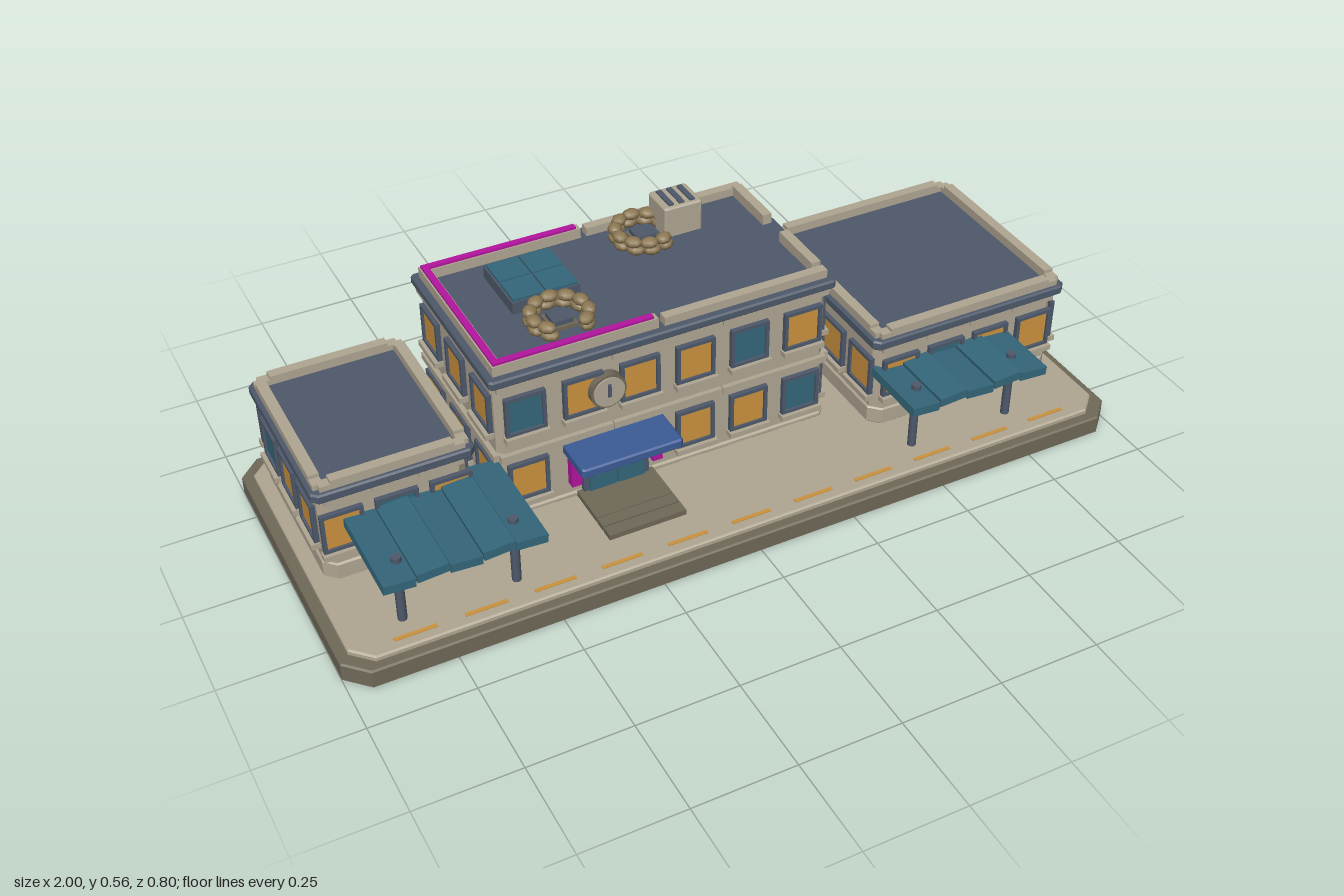
import * as THREE from 'three';

const mat = (name, color) => {
  const m = new THREE.MeshStandardMaterial({ color });
  m.name = name;
  return m;
};
const stone = mat('beige stone', 0xb0a692);
const taupe = mat('dark taupe', 0x706959);
const slate = mat('slate', 0x4e596a);
const teal = mat('teal', 0x34677a);
const amber = mat('amber glass', 0xcb933f);
const blue = mat('canopy blue', 0x3c5c96);
const magenta = mat('magenta', 0xb4159f);
const sand = mat('sandbag brown', 0x8c7853);

function add(parent, name, geo, material, x = 0, y = 0, z = 0) {
  const m = new THREE.Mesh(geo, material);
  m.name = name;
  m.position.set(x, y, z);
  parent.add(m);
  return m;
}

// Box given by its limits
function box(parent, name, material, x0, x1, y0, y1, z0, z1) {
  return add(parent, name, new THREE.BoxGeometry(x1 - x0, y1 - y0, z1 - z0), material,
    (x0 + x1) / 2, (y0 + y1) / 2, (z0 + z1) / 2);
}

// Flat block with cut corners and a small bevel, given by its limits
function slab(parent, name, material, x0, x1, y0, y1, z0, z1, cut, bevel = 0.004) {
  const w = (x1 - x0) / 2 - bevel, d = (z1 - z0) / 2 - bevel;
  const pts = [[w, d - cut], [w - cut, d], [cut - w, d], [-w, d - cut],
    [-w, cut - d], [cut - w, -d], [w - cut, -d], [w, cut - d]];
  const geo = new THREE.ExtrudeGeometry(new THREE.Shape(pts.map(p => new THREE.Vector2(...p))), {
    depth: y1 - y0 - 2 * bevel, bevelEnabled: true, bevelSize: bevel, bevelThickness: bevel, bevelSegments: 1,
  });
  geo.rotateX(-Math.PI / 2);
  return add(parent, name, geo, material, (x0 + x1) / 2, y0 + bevel, (z0 + z1) / 2);
}

// Window frame with a rectangular hole
const W = 0.1, H = 0.106;
const rect = (C, w, h) => new C([[-w, -h], [w, -h], [w, h], [-w, h]].map(p => new THREE.Vector2(p[0] / 2, p[1] / 2)));
const frameShape = rect(THREE.Shape, W, H);
frameShape.holes.push(rect(THREE.Path, W - 0.018, H - 0.018));
const frameGeo = new THREE.ExtrudeGeometry(frameShape, { depth: 0.012, bevelEnabled: false });
const paneGeo = new THREE.BoxGeometry(W - 0.016, H - 0.016, 0.006);
const sillGeo = new THREE.BoxGeometry(W + 0.008, 0.014, 0.022);

function windowUnit(side, x, y, z, glass) {
  const g = new THREE.Group();
  g.name = 'window';
  g.position.set(x, y, z);
  side.add(g);
  add(g, 'windowFrame', frameGeo, slate);
  add(g, 'windowPane', paneGeo, glass, 0, 0, 0.003);
  add(g, 'windowSill', sillGeo, stone, 0, -H / 2 - 0.006, 0.011);
}

// Four wall faces: local x runs along the wall and local z points outward
function walls(parent, x0, x1, z0, z1, build) {
  const w = x1 - x0, d = z1 - z0;
  ['front', 'left', 'back', 'right'].forEach((name, i) => {
    const g = new THREE.Group();
    g.name = name + 'Wall';
    g.position.set((x0 + x1) / 2, 0, (z0 + z1) / 2);
    g.rotation.y = i * Math.PI / 2;
    parent.add(g);
    build(g, i, i % 2 ? d : w, (i % 2 ? w : d) / 2);
  });
}

// Row of facing blocks with narrow joints
function course(side, name, len, z, y0, y1, n, out) {
  const s = len / n;
  for (let i = 0; i < n; i++)
    box(side, name, stone, -len / 2 + i * s + 0.0015, -len / 2 + (i + 1) * s - 0.0015, y0, y1, z - 0.01, z + out);
}

function wing(root, name, x0, x1, z0, z1, counts, teals) {
  const g = new THREE.Group();
  g.name = name;
  root.add(g);
  slab(g, 'wingWalls', stone, x0, x1, 0.063, 0.302, z0, z1, 0.02);
  slab(g, 'wingPlinth', stone, x0 - 0.005, x1 + 0.005, 0.063, 0.11, z0 - 0.005, z1 + 0.005, 0.025);
  slab(g, 'wingRoof', slate, x0 - 0.017, x1 + 0.017, 0.3, 0.325, z0 - 0.017, z1 + 0.017, 0.012);
  walls(g, x0, x1, z0, z1, (s, i, len, r) => {
    const n = counts[i];
    for (let k = 0; k < n; k++)
      windowUnit(s, (k - (n - 1) / 2) * 0.128, 0.206, r, teals[i] === k ? teal : amber);
    course(s, 'wingCornice', len - 0.02, r, 0.283, 0.3, n, 0.008);
    // Low parapet with a taller middle
    box(s, 'wingParapet', stone, -len / 2 + 0.005, len / 2 - 0.005, 0.324, 0.339, r - 0.018, r + 0.007);
    box(s, 'wingCoping', stone, -len / 2 + 0.03, len / 2 - 0.03, 0.338, 0.348, r - 0.018, r + 0.007);
  });
}

function awning(root, x0, posts) {
  const g = new THREE.Group();
  g.name = 'awning';
  root.add(g);
  const s = 0.076;
  for (let i = 0; i < 5; i++) {
    const m = box(g, 'awningPanel', teal, x0 + i * s, x0 + (i + 1) * s - 0.002, 0.212, 0.234, 0.075, 0.36);
    m.position.y += i % 2 ? 0.005 : -0.002;
    m.rotation.z = i % 2 ? 0.07 : -0.07;
  }
  for (const x of posts) {
    add(g, 'awningPost', new THREE.CylinderGeometry(0.011, 0.011, 0.18, 10), slate, x, 0.153, 0.29);
    add(g, 'postCap', new THREE.CylinderGeometry(0.012, 0.012, 0.014, 10), slate, x, 0.237, 0.29);
  }
}

// Two stacked layers of sandbags around a small hatch, with an opening
function sandbagRing(root, x, z, open) {
  const g = new THREE.Group();
  g.name = 'sandbagRing';
  g.position.set(x, 0.468, z);
  root.add(g);
  const bag = new THREE.SphereGeometry(1, 8, 6).scale(0.023, 0.014, 0.018);
  for (let layer = 0; layer < 2; layer++)
    for (let i = 0; i < 9; i++) {
      const a = open + 0.75 + i * 0.59 + layer * 0.1;
      const m = add(g, 'sandbag', bag, sand, Math.cos(a) * 0.067, 0.011 + layer * 0.019, Math.sin(a) * 0.067);
      m.rotation.y = Math.PI / 2 - a;
    }
  box(g, 'hatchBase', taupe, -0.032, 0.032, 0, 0.01, -0.032, 0.032);
  box(g, 'hatch', slate, -0.025, 0.025, 0.01, 0.022, -0.025, 0.025);
}

export function createModel() {
  const root = new THREE.Group();
  root.name = 'station';

  // Ground
  slab(root, 'base', taupe, -1, 1, 0, 0.05, -0.4, 0.4, 0.05);
  slab(root, 'pavement', stone, -0.975, 0.975, 0.046, 0.063, -0.375, 0.375, 0.045);
  for (let i = -5; i <= 5; i++)
    box(root, 'platformDash', amber, i * 0.165 - 0.05, i * 0.165 + 0.05, 0.062, 0.065, 0.34, 0.35);

  // Side wings and their awnings
  wing(root, 'leftWing', 0.425, 0.938, -0.318, 0.188, [4, 4, 4, 4], [1, 3, 0, -1]);
  wing(root, 'rightWing', -0.938, -0.592, -0.318, 0.108, [3, 3, 3, 3], [1, -1, -1, 0]);
  awning(root, -0.89, [-0.835, -0.565]);
  awning(root, 0.42, [0.472, 0.743]);

  // Main hall
  const hall = new THREE.Group();
  hall.name = 'mainHall';
  root.add(hall);
  const x0 = -0.512, x1 = 0.336, z0 = -0.36, z1 = 0.09;
  slab(hall, 'hallWalls', stone, x0, x1, 0.063, 0.45, z0, z1, 0.012);
  slab(hall, 'hallPlinth', stone, x0 - 0.006, x1 + 0.006, 0.063, 0.078, z0 - 0.006, z1 + 0.006, 0.012);
  slab(hall, 'hallRoof', slate, x0 - 0.016, x1 + 0.016, 0.445, 0.468, z0 - 0.016, z1 + 0.016, 0.005);
  const upperTeal = [[0, 4], [2], [3], []], lowerTeal = [[5], [], [2], []];
  walls(hall, x0, x1, z0, z1, (s, i, len, r) => {
    const n = i % 2 ? 3 : 6, step = i % 2 ? 0.152 : 0.1425;
    for (let k = 0; k < n; k++) {
      const x = (k - (n - 1) / 2) * step;
      windowUnit(s, x, 0.353, r, upperTeal[i].includes(k) ? teal : amber);
      if (i !== 0 || k === 0 || k > 2)
        windowUnit(s, x, 0.163, r, lowerTeal[i].includes(k) ? teal : amber);
    }
    course(s, 'hallCornice', len, r, 0.428, 0.445, n / (i % 2 ? 1 : 2), 0.01);
    course(s, 'hallBelt', len, r, 0.232, 0.25, n / (i % 2 ? 1 : 2), 0.012);
  });

  // Parapets, with magenta edging on part of the roof
  for (const z of [z0 + 0.016, z1 - 0.016]) {
    box(hall, 'hallParapet', stone, x0, -0.105, 0.467, 0.494, z - 0.012, z + 0.012);
    box(hall, 'hallParapet', stone, -0.09, x1, 0.467, 0.49, z - 0.012, z + 0.012);
    box(hall, 'roofEdging', magenta, x0 + 0.004, -0.115, 0.494, 0.5, z - 0.008, z + 0.008);
  }
  box(hall, 'hallParapet', stone, x0, x0 + 0.024, 0.467, 0.494, z0 + 0.03, z1 - 0.03);
  box(hall, 'roofEdging', magenta, x0 + 0.004, x0 + 0.02, 0.494, 0.5, z0 + 0.024, z1 - 0.024);
  for (const [a, b] of [[-0.335, -0.18], [-0.1, 0.053]])
    box(hall, 'hallParapet', stone, x1 - 0.024, x1, 0.467, 0.495, a, b);

  // Skylight
  box(hall, 'skylightFrame', slate, -0.378, -0.207, 0.467, 0.499, -0.283, -0.112);
  for (const x of [-0.334, -0.251]) for (const z of [-0.239, -0.156])
    box(hall, 'skylightPane', teal, x - 0.039, x + 0.039, 0.499, 0.505, z - 0.039, z + 0.039);

  sandbagRing(hall, -0.295, -0.037, Math.PI / 2);
  sandbagRing(hall, 0.027, -0.262, 0.35);

  // Roof vent
  slab(hall, 'roofVent', stone, 0.073, 0.174, 0.467, 0.551, -0.325, -0.232, 0.003);
  for (let i = -1; i <= 1; i++)
    box(hall, 'ventSlot', slate, 0.1235 + i * 0.028 - 0.007, 0.1235 + i * 0.028 + 0.007, 0.549, 0.555, -0.314, -0.243);

  // Clock
  const dial = add(hall, 'clockRim', new THREE.CylinderGeometry(0.045, 0.045, 0.026, 20), taupe, -0.246, 0.355, 0.1);
  const face = add(hall, 'clockFace', new THREE.CylinderGeometry(0.039, 0.039, 0.006, 20), stone, -0.246, 0.355, 0.114);
  dial.rotation.x = face.rotation.x = Math.PI / 2;
  box(hall, 'clockHand', slate, -0.25, -0.242, 0.343, 0.378, 0.115, 0.12);

  // Entrance: doors, posts, canopy and steps
  const cx = -0.228;
  box(hall, 'doorFrame', slate, cx - 0.084, cx + 0.084, 0.063, 0.2, 0.08, 0.104);
  for (const s of [-1, 1]) {
    const dx = cx + s * 0.036;
    box(hall, 'door', teal, dx - 0.034, dx + 0.034, 0.075, 0.188, 0.1, 0.109);
    const px = cx + s * 0.104;
    box(hall, 'entrancePost', magenta, px - 0.013, px + 0.013, 0.108, 0.2, 0.085, 0.112);
  }
  slab(hall, 'canopy', blue, cx - 0.128, cx + 0.128, 0.2, 0.226, 0.085, 0.2, 0.004);
  box(hall, 'landing', taupe, cx - 0.098, cx + 0.098, 0.06, 0.077, 0.09, 0.2);
  for (const z of [0.203, 0.239])
    box(hall, 'step', taupe, cx - 0.098, cx + 0.098, 0.06, 0.077, z, z + 0.031);

  return root;
}
